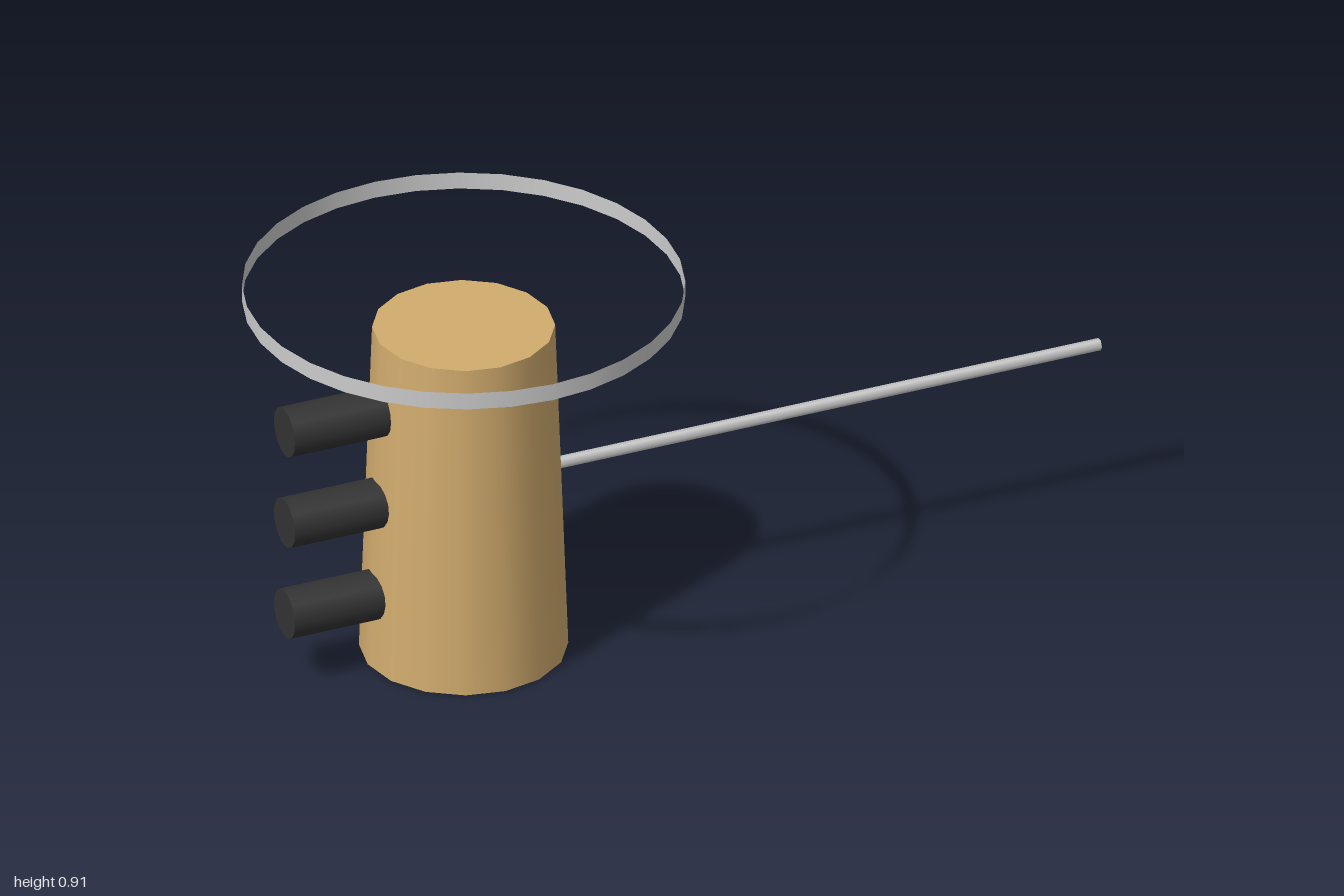
import * as THREE from 'three';

const AXIS_X = -0.516; // centre line of the body and the hoop

function material(color, side = THREE.FrontSide) {
  return new THREE.MeshStandardMaterial({ color, side });
}

// Cylinder lying along x between two ends
function barAlongX(name, x0, x1, y, radius, sides, mat) {
  const geometry = new THREE.CylinderGeometry(radius, radius, x1 - x0, sides);
  geometry.rotateZ(-Math.PI / 2);
  const mesh = new THREE.Mesh(geometry, mat);
  mesh.name = name;
  mesh.position.set((x0 + x1) / 2, y, 0);
  return mesh;
}

export function createModel() {
  const model = new THREE.Group();
  model.name = 'model';
  const tan = material(0xd2ac6e);
  const dark = material(0x333333);
  const grey = material(0xcccccc);

  // Tapered body
  const body = new THREE.Mesh(new THREE.CylinderGeometry(0.2, 0.2286, 0.8, 16), tan);
  body.name = 'body';
  body.position.set(AXIS_X, 0.4, 0);
  model.add(body);

  // Thin open hoop floating above the body
  const hoop = new THREE.Mesh(
    new THREE.CylinderGeometry(0.484, 0.484, 0.04, 32, 1, true),
    material(0xcccccc, THREE.DoubleSide)
  );
  hoop.name = 'hoop';
  hoop.position.set(AXIS_X, 0.887, 0);
  model.add(hoop);

  // Three stacked pegs on the right side
  const pegs = new THREE.Group();
  pegs.name = 'pegs';
  for (let i = 0; i < 3; i++) {
    pegs.add(barAlongX('peg', -0.943, -0.714, 0.173 + i * 0.2286, 0.057, 16, dark));
  }
  model.add(pegs);

  // Long hexagonal rod on the left side
  model.add(barAlongX('rod', -0.314, 1, 0.403, 0.0137, 6, grey));

  return model;
}
